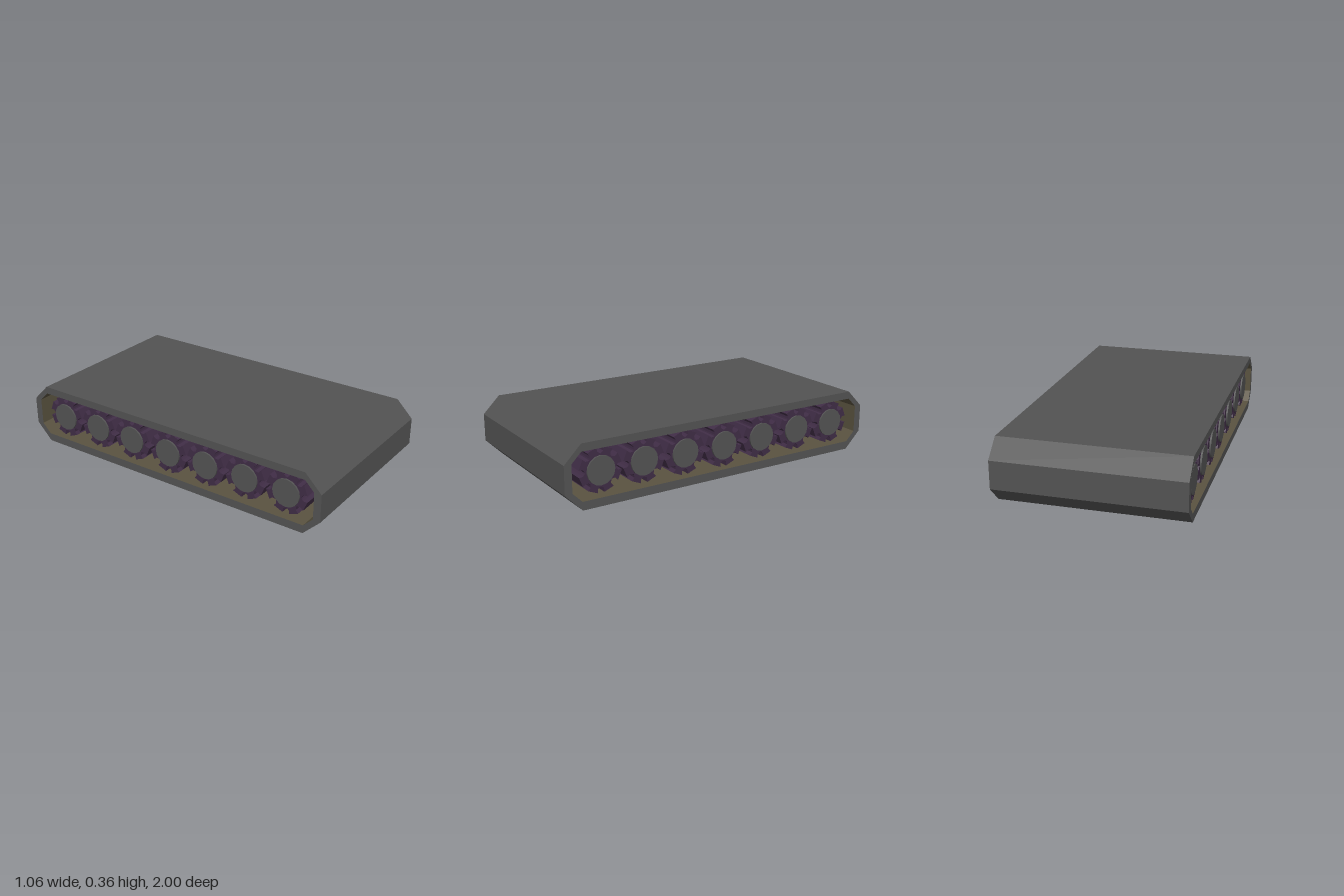
import * as THREE from 'three';

const HALF_WIDTH = 0.53;

// Points of a chamfered rectangle in the side plane (z, y)
function octagon(halfZ, y0, y1, c) {
  return [
    [halfZ - c, y0], [halfZ, y0 + c], [halfZ, y1 - c], [halfZ - c, y1],
    [c - halfZ, y1], [-halfZ, y1 - c], [-halfZ, y0 + c], [c - halfZ, y0],
  ].map(([z, y]) => new THREE.Vector2(z, y));
}

// Extrude a side profile across the width, centred on x = 0
function extrudeAcross(points, hole, width) {
  const shape = new THREE.Shape(points);
  if (hole) shape.holes.push(new THREE.Path(hole));
  const geo = new THREE.ExtrudeGeometry(shape, { depth: width, bevelEnabled: false });
  geo.translate(0, 0, -width / 2);
  geo.rotateY(-Math.PI / 2);
  return geo;
}

// Eight-toothed profile with hollowed notches
function gearPoints() {
  const pts = [];
  const teeth = 8, step = (Math.PI * 2) / teeth;
  const profile = [[0, 0.09], [0.1, 0.094], [0.17, 0.104], [0.17, 0.127], [0.83, 0.127], [0.83, 0.104], [0.9, 0.094]];
  profile[2][0] = 0.22; profile[3][0] = 0.2; profile[4][0] = 0.8; profile[5][0] = 0.78;
  for (let i = 0; i < teeth; i++) {
    for (const [t, r] of profile) {
      const a = (i + t) * step;
      pts.push(new THREE.Vector2(Math.cos(a) * r, Math.sin(a) * r));
    }
  }
  return pts;
}

export function createModel() {
  const grey = new THREE.MeshStandardMaterial({ color: 0x535353 });
  grey.name = 'belt grey';
  const tan = new THREE.MeshStandardMaterial({ color: 0x5a5340 });
  tan.name = 'lining olive';
  const purple = new THREE.MeshStandardMaterial({ color: 0x402d46 });
  purple.name = 'gear purple';

  const model = new THREE.Group();
  model.name = 'conveyor';
  const add = (name, geo, mat, parent = model) => {
    const mesh = new THREE.Mesh(geo, mat);
    mesh.name = name;
    parent.add(mesh);
    return mesh;
  };

  // Belt loop and its thin inner lining
  const outer = octagon(1, 0, 0.362, 0.1);
  const seam = octagon(0.961, 0.044, 0.322, 0.057);
  const inner = octagon(0.957, 0.048, 0.318, 0.056);
  add('belt', extrudeAcross(outer, seam, HALF_WIDTH * 2), grey);
  add('beltLining', extrudeAcross(seam, inner, HALF_WIDTH * 2), [grey, tan]);

  // Row of full-width toothed rollers with grey axles
  const gearGeo = extrudeAcross(gearPoints(), null, 1.0);
  const axleGeo = new THREE.CylinderGeometry(0.082, 0.082, 1.02, 16).rotateZ(Math.PI / 2);
  const rollers = [
    [0.778, 0.188], [0.518, 0.189], [0.258, 0.183], [0, 0.18],
    [-0.262, 0.184], [-0.52, 0.186], [-0.78, 0.184],
  ];
  rollers.forEach(([z, y], i) => {
    const roller = new THREE.Group();
    roller.name = `roller${i + 1}`;
    roller.position.set(0, y, z);
    add('gear', gearGeo, purple, roller);
    add('axle', axleGeo, grey, roller);
    model.add(roller);
  });

  return model;
}
